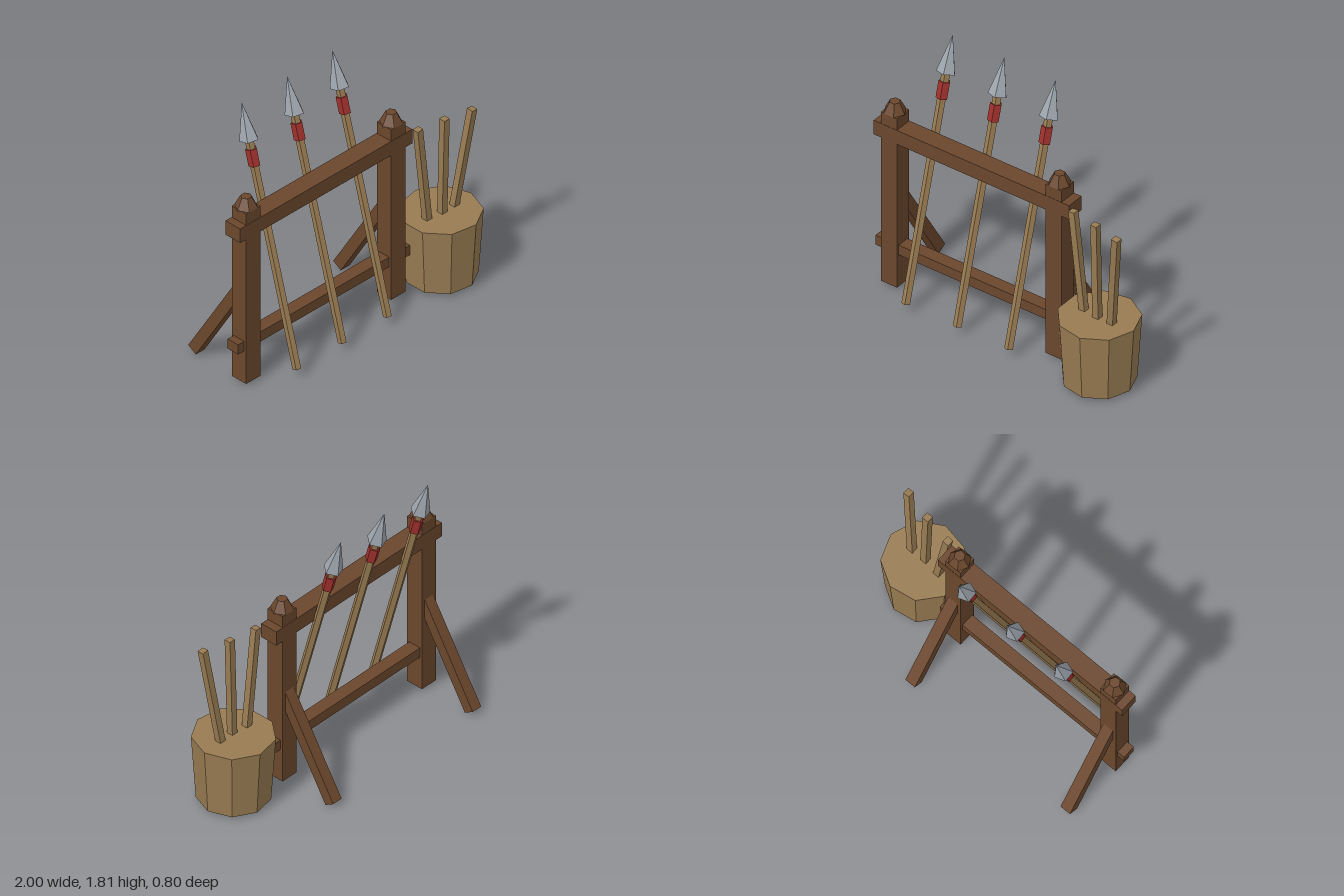
import * as THREE from 'three';

const flat = (name, color) => {
  const m = new THREE.MeshStandardMaterial({ color, flatShading: true });
  m.name = name;
  return m;
};

export function createModel() {
  const darkWood = flat('dark wood', 0x6b472d);
  const lightWood = flat('light wood', 0x987b52);
  const steel = flat('steel', 0x9ea6ae);
  const redCloth = flat('red cloth', 0xa0302c);

  const model = new THREE.Group();
  model.name = 'spearRack';

  const add = (parent, name, geometry, material, x = 0, y = 0, z = 0) => {
    const mesh = new THREE.Mesh(geometry, material);
    mesh.name = name;
    mesh.position.set(x, y, z);
    parent.add(mesh);
    return mesh;
  };

  // Square bar running between two points
  const bar = (name, from, to, size, material) => {
    const a = new THREE.Vector3(...from);
    const b = new THREE.Vector3(...to);
    const dir = b.clone().sub(a);
    const mesh = add(model, name, new THREE.BoxGeometry(size, dir.length(), size), material);
    mesh.position.copy(a).add(b).multiplyScalar(0.5);
    mesh.quaternion.setFromUnitVectors(new THREE.Vector3(0, 1, 0), dir.normalize());
  };

  // Faceted round part with one corner pointing along +x
  const prism = (rTop, rBottom, height, sides) =>
    new THREE.CylinderGeometry(rTop, rBottom, height, sides).rotateY(Math.PI / 2);

  // Posts with hexagonal caps and rear braces
  for (const x of [-0.885, 0.375]) {
    add(model, 'post', new THREE.BoxGeometry(0.124, 1.275, 0.124), darkWood, x, 0.6625, 0.062);
    add(model, 'postCap', prism(0.036, 0.075, 0.075, 6), darkWood, x, 1.3375, 0.062);
    bar('brace', [x, 0.025, -0.368], [x, 0.708, 0.048], 0.076, darkWood);
  }

  // Rails
  add(model, 'topRail', new THREE.BoxGeometry(1.495, 0.105, 0.127), darkWood, -0.2525, 1.1625, 0.062);
  add(model, 'bottomRail', new THREE.BoxGeometry(1.495, 0.072, 0.09), darkWood, -0.2525, 0.3, 0.062);

  // Spears leaning back against the top rail, built upright from the butt
  for (const x of [-0.647, -0.253, 0.14]) {
    const spear = new THREE.Group();
    spear.name = 'spear';
    spear.position.set(x, 0.063, 0.266);
    spear.rotation.x = -0.266;
    add(spear, 'shaft', prism(0.029, 0.029, 1.6, 5), lightWood, 0, 0.8);
    add(spear, 'binding', prism(0.039, 0.039, 0.115, 5), redCloth, 0, 1.45);
    add(spear, 'spearhead', new THREE.ConeGeometry(0.064, 0.25, 5).rotateY(Math.PI / 2), steel, 0, 1.695);
    model.add(spear);
  }

  // Tub holding loose poles
  add(model, 'tub', prism(0.265, 0.235, 0.467, 9), lightWood, 0.732, 0.2585, 0.135);
  const poles = [
    [[0.624, 0.4, 0.135], [0.534, 1.2, 0.135]],
    [[0.73, 0.4, 0.148], [0.73, 1.2, 0.17]],
    [[0.827, 0.4, 0.14], [0.924, 1.2, 0.216]],
  ];
  for (const [from, to] of poles) bar('pole', from, to, 0.045, lightWood);

  return model;
}
